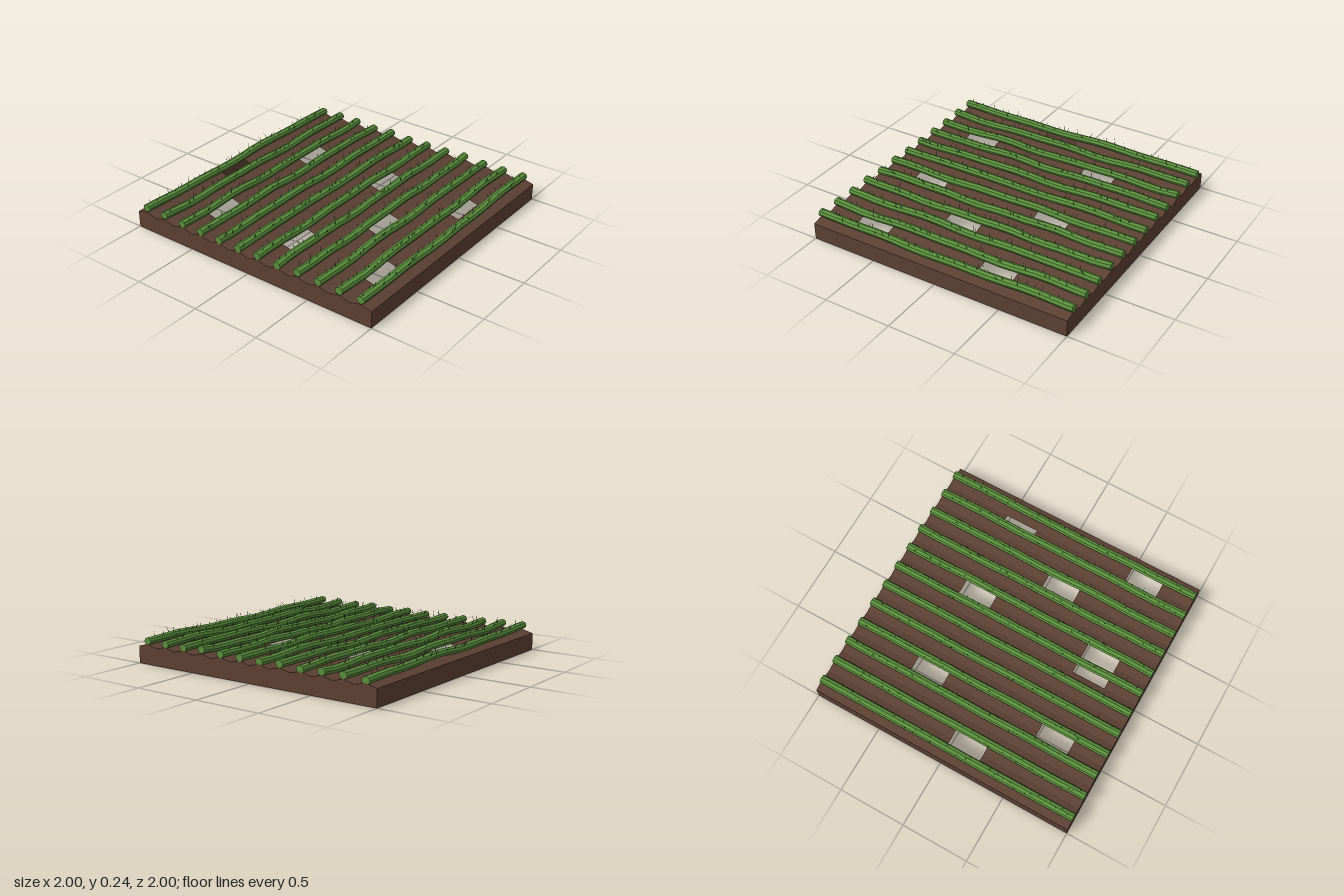
import * as THREE from 'three';
import { mergeGeometries } from 'three/addons/utils/BufferGeometryUtils.js';

const ROWS = 12, STEP = 2 / ROWS, VALLEY = 0.122, PEAK = 0.143;

// small seeded random
let seed = 7;
const rnd = () => {
  seed = (seed * 16807) % 2147483647;
  return seed / 2147483647;
};

function fromPositions(pos) {
  const g = new THREE.BufferGeometry();
  g.setAttribute('position', new THREE.Float32BufferAttribute(pos, 3));
  g.computeVertexNormals();
  return g;
}

// half-furrow edges: even = valley, odd = peak
const edgeZ = (i) => -1 + i * STEP / 2;
const edgeY = (i) => (i % 2 ? PEAK : VALLEY);

// missing patches: [x cell, first half-furrow, last half-furrow]
const HOLES = [
  [3, 1, 2], [1, 5, 6], [5, 5, 6], [1, 12, 14],
  [5, 13, 14], [3, 17, 18], [1, 21, 22], [5, 21, 21],
];
const isHole = (c, r) => HOLES.some(([x, a, b]) => x === c && r >= a && r <= b);

// ridged ground with rectangular gaps
function furrowGeometry() {
  const pos = [];
  for (let r = 0; r < ROWS * 2; r++) {
    const z0 = edgeZ(r), z1 = edgeZ(r + 1), y0 = edgeY(r), y1 = edgeY(r + 1);
    for (let c = 0; c < 8; c++) {
      if (isHole(c, r)) continue;
      const x0 = -1 + c * 0.25, x1 = x0 + 0.25;
      pos.push(x0, y0, z0, x0, y1, z1, x1, y1, z1);
      pos.push(x0, y0, z0, x1, y1, z1, x1, y0, z0);
    }
  }
  return fromPositions(pos);
}

// side wall whose top follows the furrows
function endWallGeometry() {
  const s = new THREE.Shape();
  s.moveTo(-1, 0);
  for (let i = 0; i <= ROWS * 2; i++) s.lineTo(edgeZ(i), edgeY(i));
  s.lineTo(1, 0);
  return new THREE.ShapeGeometry(s).rotateY(Math.PI / 2);
}

export function createModel() {
  seed = 7;
  const model = new THREE.Group();
  const mat = (name, color, side = THREE.FrontSide) => {
    const m = new THREE.MeshStandardMaterial({ color, side, flatShading: true });
    m.name = name;
    return m;
  };
  const soil = mat('soil brown', 0x5c4033, THREE.DoubleSide);
  const leaf = mat('crop green', 0x5a8f3c);
  const dark = mat('blade dark green', 0x2d4a1e, THREE.DoubleSide);
  const add = (name, geo, material) => {
    const mesh = new THREE.Mesh(geo, material);
    mesh.name = name;
    model.add(mesh);
    return mesh;
  };

  // soil bed, open underneath
  add('furrows', furrowGeometry(), soil);
  for (const s of [1, -1]) {
    const end = add(s > 0 ? 'leftWall' : 'rightWall', endWallGeometry(), soil);
    end.rotation.y = s > 0 ? 0 : Math.PI;
    end.position.x = s;
    const wall = add(s > 0 ? 'frontWall' : 'backWall', new THREE.PlaneGeometry(2, VALLEY), soil);
    wall.rotation.y = s > 0 ? 0 : Math.PI;
    wall.position.set(0, VALLEY / 2, s);
  }

  for (let r = 0; r < ROWS; r++) {
    const z = -1 + (r + 0.5) * STEP;
    const p1 = rnd() * 6.28, p2 = rnd() * 6.28;
    const f1 = 4 + rnd() * 4, f2 = 9 + rnd() * 6;
    const rowY = (x) => 0.165 + 0.006 * Math.sin(f1 * x + p1) + 0.004 * Math.sin(f2 * x + p2);

    // gently waving crop row
    const tube = new THREE.CylinderGeometry(0.031, 0.031, 2, 8, 16).rotateZ(Math.PI / 2);
    const p = tube.attributes.position;
    for (let i = 0; i < p.count; i++) {
      p.setXYZ(i, p.getX(i), p.getY(i) * 0.87 + rowY(p.getX(i)), p.getZ(i) + z);
    }
    tube.computeVertexNormals();
    add('cropRow', tube, leaf);

    // thin blades leaning out of the row
    const blades = [];
    for (let i = 0; i < 44; i++) {
      const x = -0.98 + 1.96 * (i + rnd()) / 45;
      const h = 0.04 + rnd() * 0.022;
      const blade = new THREE.ConeGeometry(0.0035, h, 3, 1, true);
      blade.translate(0, h / 2, 0);
      const side = rnd() * 2 - 1;
      blade.rotateX(side * 0.4).rotateZ((rnd() - 0.5) * 0.9);
      blade.translate(x, rowY(x) + 0.006, z + side * 0.021);
      blades.push(blade);
    }
    add('grassBlades', mergeGeometries(blades), dark);
  }
  return model;
}
